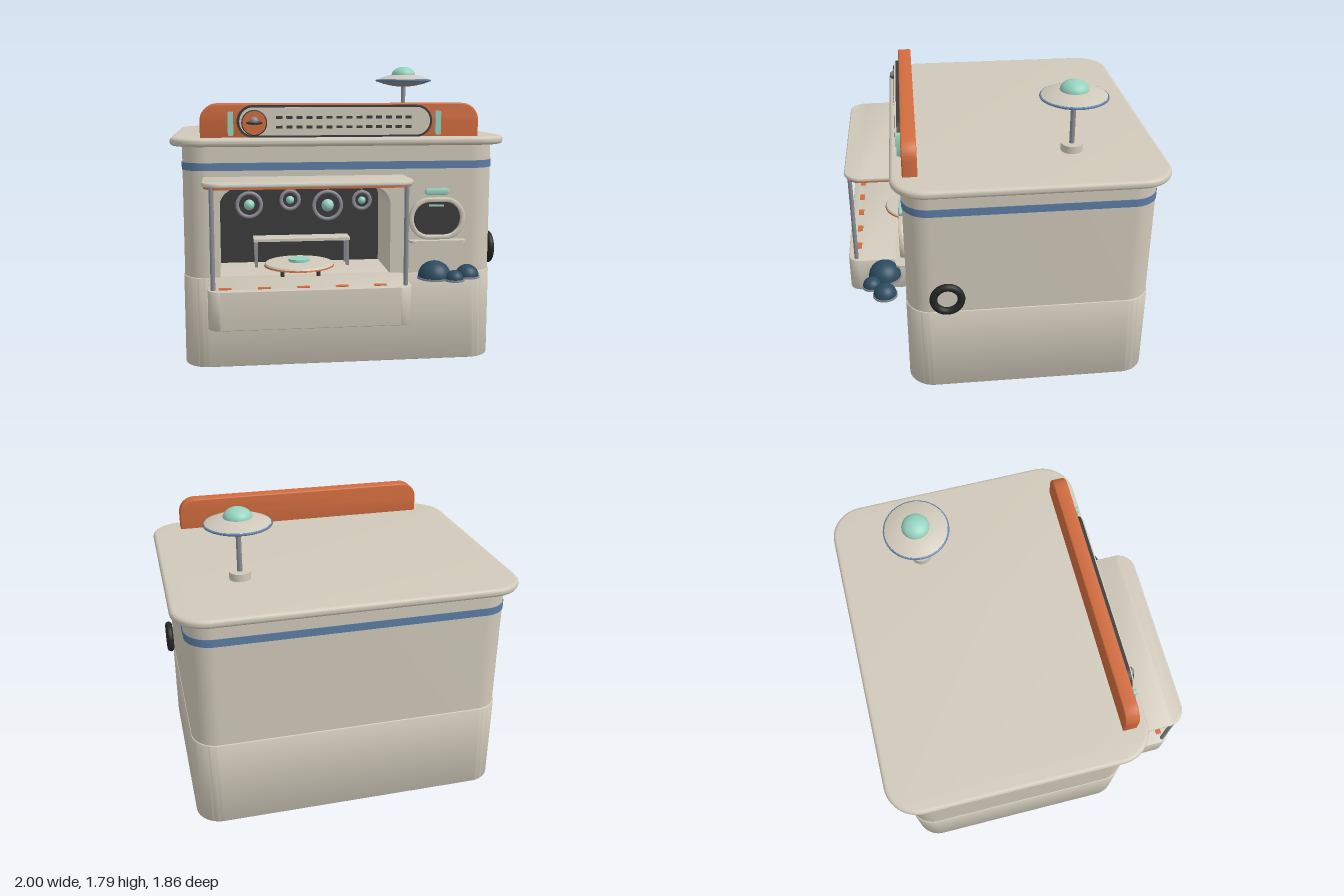
import * as THREE from 'three';
import { toCreasedNormals } from 'three/addons/utils/BufferGeometryUtils.js';

const mat = (name, color, side = THREE.FrontSide) => {
  const m = new THREE.MeshStandardMaterial({ color, side });
  m.name = name;
  return m;
};

// Rounded rectangle; r = corner radii [low-left, low-right, high-right, high-left]
function rounded(x0, y0, x1, y1, r, Kind = THREE.Shape) {
  const [a, b, c, d] = Array.isArray(r) ? r : [r, r, r, r];
  const s = new Kind();
  s.moveTo(x0 + a, y0);
  s.lineTo(x1 - b, y0);
  if (b) s.absarc(x1 - b, y0 + b, b, -Math.PI / 2, 0);
  s.lineTo(x1, y1 - c);
  if (c) s.absarc(x1 - c, y1 - c, c, 0, Math.PI / 2);
  s.lineTo(x0 + d, y1);
  if (d) s.absarc(x0 + d, y1 - d, d, Math.PI / 2, Math.PI);
  s.lineTo(x0, y0 + a);
  if (a) s.absarc(x0 + a, y0 + a, a, Math.PI, Math.PI * 1.5);
  return s;
}

function extrude(shape, depth, bevel) {
  const g = new THREE.ExtrudeGeometry(shape, {
    depth: depth - 2 * bevel, curveSegments: 14, bevelEnabled: bevel > 0,
    bevelSize: bevel, bevelThickness: bevel, bevelOffset: -bevel, bevelSegments: 4,
  });
  g.translate(0, 0, bevel);
  return toCreasedNormals(g, 0.6);
}

// Shape drawn in x,z and raised from y0 to y1
const slab = (shape, y0, y1, bevel = 0) =>
  extrude(shape, y1 - y0, bevel).rotateX(Math.PI / 2).translate(0, y1, 0);

// Shape drawn in x,y and pushed from z0 to z1
const plate = (shape, z0, z1, bevel = 0) => extrude(shape, z1 - z0, bevel).translate(0, 0, z0);

const box = (x0, x1, y0, y1, z0, z1) =>
  new THREE.BoxGeometry(x1 - x0, y1 - y0, z1 - z0).translate((x0 + x1) / 2, (y0 + y1) / 2, (z0 + z1) / 2);

const rod = (x, z, y0, y1, r, top = r) =>
  new THREE.CylinderGeometry(top, r, y1 - y0, 28).translate(x, (y0 + y1) / 2, z);

const lathe = (pts) =>
  toCreasedNormals(new THREE.LatheGeometry(pts.map(([r, y]) => new THREE.Vector2(r, y)), 40), 0.6);

const dome = (r, h) =>
  new THREE.SphereGeometry(r, 32, 14, 0, Math.PI * 2, 0, Math.PI / 2).scale(1, h / r, 1);

export function createModel() {
  const cream = mat('cream', 0xd0c9ba);
  const orange = mat('orange', 0xd06b3e);
  const blue = mat('stripe blue', 0x5d7da5);
  const teal = mat('teal', 0x96d3c0);
  const dark = mat('charcoal', 0x3b3b3b);
  const navy = mat('navy', 0x2b4b60);
  const metal = mat('metal', 0x8b8d94);
  const black = mat('rubber', 0x252525);

  const root = new THREE.Group();
  const add = (name, geo, material, parent = root) => {
    const m = new THREE.Mesh(geo, material);
    m.name = name;
    parent.add(m);
    return m;
  };
  const group = (name, x, y, z) => {
    const g = new THREE.Group();
    g.name = name;
    g.position.set(x, y, z);
    root.add(g);
    return g;
  };

  // Building: plinth, walls with a deep serving alcove, stripe and roof
  const L = -0.72, R = 0.29, back = 0.15, front = 0.57;
  add('plinth', slab(rounded(-0.935, -0.865, 0.935, 0.575, 0.15), 0, 0.54, 0.006), cream);
  const plan = new THREE.Shape();
  plan.moveTo(L, front);
  plan.lineTo(L, back);
  plan.lineTo(R, back);
  plan.lineTo(R, front);
  plan.lineTo(0.78, front);
  plan.absarc(0.78, front - 0.15, 0.15, Math.PI / 2, 0, true);
  plan.absarc(0.78, -0.71, 0.15, 0, -Math.PI / 2, true);
  plan.absarc(-0.78, -0.71, 0.15, -Math.PI / 2, -Math.PI, true);
  plan.absarc(-0.78, front - 0.15, 0.15, Math.PI, Math.PI / 2, true);
  add('walls', slab(plan, 0.54, 1.315), cream);
  const arch = new THREE.Shape();
  arch.moveTo(L, 1.315);
  arch.lineTo(L, 0.95);
  arch.absarc(L + 0.12, 0.95, 0.12, Math.PI, Math.PI / 2, true);
  arch.lineTo(R - 0.12, 1.07);
  arch.absarc(R - 0.12, 0.95, 0.12, Math.PI / 2, 0, true);
  arch.lineTo(R, 1.315);
  add('alcoveHeader', plate(arch, back, front), cream);
  add('alcoveBack', box(L, R, 0.54, 1.07, back, back + 0.005), dark);
  add('stripe', slab(rounded(-0.934, -0.864, 0.934, 0.574, 0.154), 1.17, 1.215), blue);
  add('roof', slab(rounded(-1, -0.93, 1, 0.63, 0.2), 1.31, 1.36, 0.022), cream);

  // Sign board on the roof edge
  add('signBoard', plate(rounded(-0.82, 1.35, 0.815, 1.555, [0, 0, 0.1, 0.1]), 0.475, 0.56, 0.008), orange);
  add('signFrame', plate(rounded(-0.61, 1.36, 0.53, 1.545, 0.092), 0.56, 0.58), dark);
  add('signPanel', plate(rounded(-0.595, 1.372, 0.515, 1.533, 0.08), 0.58, 0.59), cream);
  for (const x of [-0.645, 0.567])
    add('signLight', plate(rounded(x - 0.016, 1.37, x + 0.016, 1.51, 0.01), 0.56, 0.585), teal);
  for (const y of [1.475, 1.42])
    for (let i = 0; i < 14; i++)
      add('signDash', box(-0.385 + i * 0.058, -0.35 + i * 0.058, y - 0.008, y + 0.008, 0.59, 0.595), dark);
  const badge = group('signRoundel', -0.51, 1.445, 0.59);
  add('roundelDisc', new THREE.CylinderGeometry(0.068, 0.068, 0.012, 36).rotateX(Math.PI / 2), orange, badge);
  add('roundelRim', new THREE.TorusGeometry(0.068, 0.006, 8, 36), dark, badge);
  add('roundelDish', new THREE.SphereGeometry(0.05, 24, 12).scale(1, 0.22, 0.6), dark, badge);
  add('roundelDome', new THREE.SphereGeometry(0.024, 20, 12).translate(0, 0.012, 0.008), metal, badge);

  // Rooftop saucer on a mast
  const mast = group('rooftopSaucer', 0.565, 0, -0.415);
  add('mastFoot', rod(0, 0, 1.355, 1.405, 0.063), cream, mast);
  add('mast', rod(0, 0, 1.4, 1.68, 0.015), metal, mast);
  add('saucerBelly', lathe([[0, 1.648], [0.07, 1.652], [0.14, 1.668], [0.188, 1.685]]), metal, mast);
  add('saucerRim', lathe([[0.186, 1.683], [0.195, 1.688], [0.195, 1.694], [0.186, 1.699]]), blue, mast);
  add('saucerTop', lathe([[0.188, 1.698], [0.15, 1.714], [0.1, 1.728], [0, 1.735]]), cream, mast);
  add('saucerDome', dome(0.083, 0.06).translate(0, 1.726, 0), teal, mast);

  // Porch: deck, posts and canopy
  add('deck', slab(rounded(-0.785, 0.55, 0.355, 0.93, [0, 0, 0.07, 0.07]), 0.325, 0.545, 0.004), cream);
  for (let i = 0; i < 5; i++) {
    const x = -0.69 + i * 0.217;
    add('deckMarker', box(x - 0.035, x + 0.035, 0.543, 0.549, 0.85, 0.885), orange);
  }
  for (const x of [-0.755, 0.32]) add('canopyPost', rod(x, 0.88, 0.54, 1.11, 0.013), metal);
  add('canopy', slab(rounded(-0.81, 0.56, 0.37, 0.915, [0, 0, 0.11, 0.11]), 1.11, 1.135, 0.008), cream);
  add('canopyTrim', slab(rounded(-0.8, 0.56, 0.36, 0.905, [0, 0, 0.1, 0.1]), 1.1, 1.113), orange);
  for (let i = 0; i < 5; i++)
    add('canopyLight', box(-0.7 + i * 0.21, -0.58 + i * 0.21, 1.095, 1.1, 0.8, 0.82), teal);

  // Alcove counter
  add('counterTop', box(-0.515, 0.085, 0.7, 0.717, 0.18, 0.32), cream);
  for (const x of [-0.5, 0.07])
    for (const z of [0.2, 0.3]) add('counterLeg', box(x - 0.01, x + 0.01, 0.54, 0.7, z - 0.01, z + 0.01), metal);

  // Round table
  const table = group('roundTable', -0.25, 0, 0.49);
  add('tableTop', lathe([[0.207, 0.596], [0.2, 0.606], [0.15, 0.612], [0, 0.614]]), cream, table);
  add('tableRim', lathe([[0, 0.575], [0.17, 0.578], [0.21, 0.588], [0.207, 0.597]]), orange, table);
  add('tableCentre', rod(0, 0, 0.61, 0.63, 0.062), teal, table);
  for (let i = 0; i < 4; i++) {
    const a = Math.PI / 4 + i * Math.PI / 2;
    add('tableLeg', rod(0.15 * Math.cos(a), 0.15 * Math.sin(a), 0.54, 0.58, 0.012), dark, table);
  }

  // Hanging ring lamps
  for (const [x, y, r] of [[-0.54, 0.935, 0.073], [-0.29, 0.962, 0.055], [-0.058, 0.925, 0.085], [0.155, 0.953, 0.052]]) {
    const lamp = group('ringLamp', x, y, 0.33);
    add('lampRing', new THREE.TorusGeometry(r, 0.011, 10, 36), metal, lamp);
    add('lampGlobe', new THREE.SphereGeometry(r * 0.45, 20, 14), teal, lamp);
    add('lampCord', rod(0, 0, r, 1.075 - y, 0.004), metal, lamp);
  }

  // Side window with sill and light
  const frame = rounded(0.4, 0.745, 0.74, 0.997, 0.122);
  frame.holes.push(rounded(0.428, 0.772, 0.712, 0.97, 0.096, THREE.Path));
  add('windowFrame', plate(frame, 0.565, 0.597, 0.008), cream);
  add('windowPane', plate(rounded(0.42, 0.765, 0.72, 0.98, 0.1), 0.568, 0.575), dark);
  add('windowLamp', box(0.52, 0.61, 0.943, 0.953, 0.575, 0.582), teal);
  add('windowSill', slab(rounded(0.4, 0.56, 0.74, 0.625, [0, 0, 0.03, 0.03]), 0.73, 0.743), cream);
  add('windowLight', plate(rounded(0.495, 1.013, 0.64, 1.05, 0.017), 0.565, 0.592, 0.004), teal);

  // Domed shrubs on round trays
  for (const [x, z, r, h] of [[0.53, 0.7, 0.097, 0.093], [0.728, 0.697, 0.068, 0.065], [0.63, 0.777, 0.053, 0.05]]) {
    add('shrub', dome(r, h).translate(x, 0.547, z), navy);
    add('shrubTray', rod(x, z, 0.536, 0.547, r + 0.005), metal);
  }

  // Tyre against the side wall
  add('tyre', new THREE.TorusGeometry(0.08, 0.022, 14, 40).rotateY(Math.PI / 2).translate(0.958, 0.645, 0.34), black);

  // Lathe profiles running downward are turned outward by showing both faces
  for (const m of [cream, orange, blue, metal]) m.side = THREE.DoubleSide;
  return root;
}
